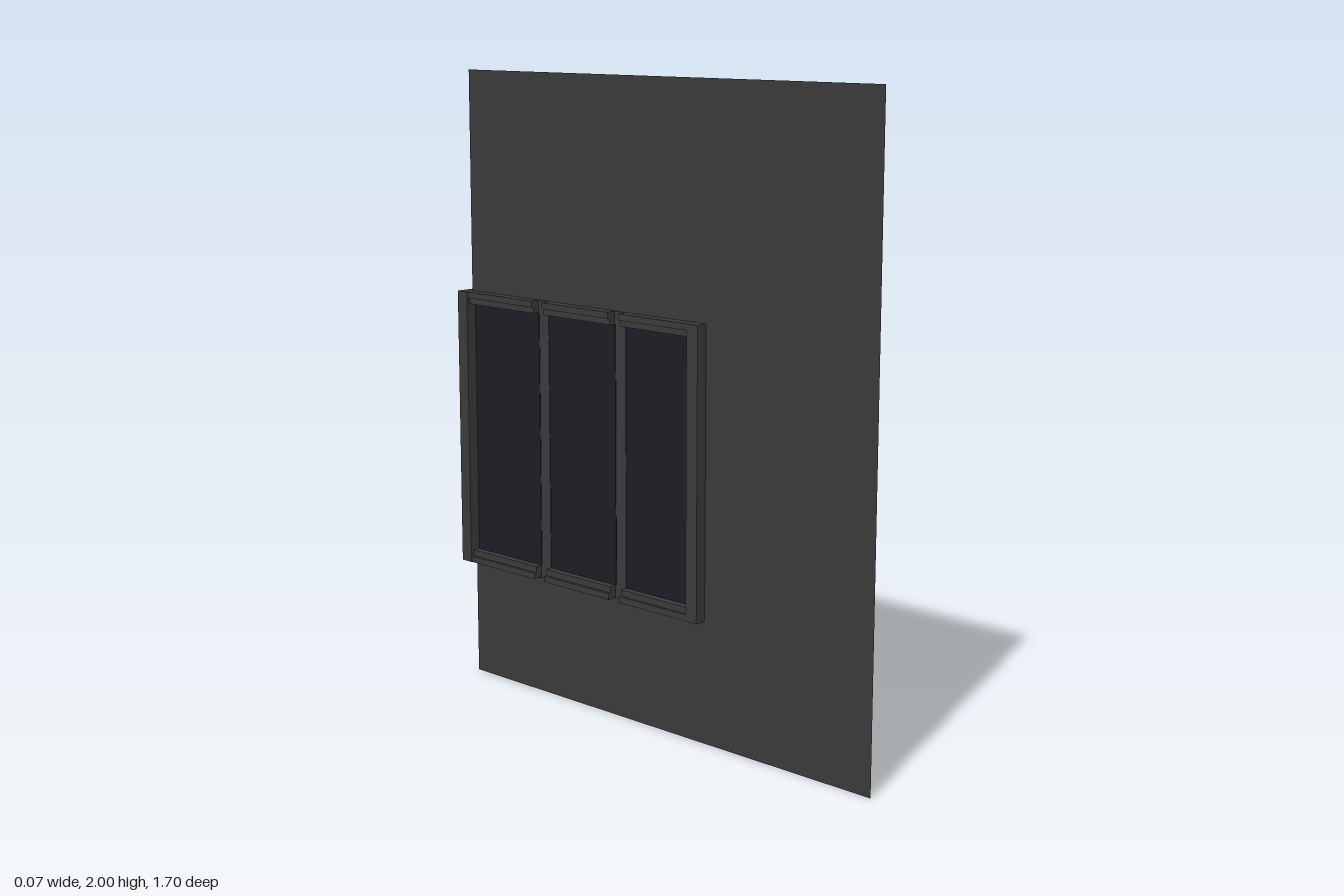
import * as THREE from 'three';

export function createModel() {
  const root = new THREE.Group();
  const grey = new THREE.MeshStandardMaterial({ color: 0x3b3b3b });
  const sheet = new THREE.MeshStandardMaterial({ color: 0x3b3b3b, side: THREE.DoubleSide });
  const dark = new THREE.MeshStandardMaterial({ color: 0x1c1e24, side: THREE.DoubleSide });

  // Box given by its limits on each axis
  const box = (name, [x0, x1], [y0, y1], [z0, z1], material = grey) => {
    const mesh = new THREE.Mesh(new THREE.BoxGeometry(x1 - x0, y1 - y0, z1 - z0), material);
    mesh.position.set((x0 + x1) / 2, (y0 + y1) / 2, (z0 + z1) / 2);
    mesh.name = name;
    root.add(mesh);
  };

  const bottom = 0.385, top = 1.29, inset = 0.04;
  const zBack = -0.845, zFront = 0.212, post = 0.044;
  const bays = [[-0.80, -0.498], [-0.452, -0.16], [-0.114, 0.168]];

  // Thin wall sheet with an opening; shape x runs along -z
  const wallShape = new THREE.Shape();
  wallShape.moveTo(-0.85, 0).lineTo(0.815, 0).lineTo(0.815, top - 0.02).lineTo(-0.19, top - 0.02)
    .lineTo(-0.19, bottom + 0.02).lineTo(0.815, bottom + 0.02).lineTo(0.815, 0.0001);
  // Remaining upper part of the wall
  const outline = new THREE.Shape([
    [-0.85, 0], [0.815, 0], [0.815, bottom + 0.02], [-0.19, bottom + 0.02],
    [-0.19, top - 0.02], [0.815, top - 0.02], [0.815, 2], [-0.85, 2],
  ].map(([a, b]) => new THREE.Vector2(a, b)));
  const wall = new THREE.Mesh(new THREE.ShapeGeometry(outline), sheet);
  wall.rotation.y = Math.PI / 2;
  wall.name = 'wall';
  root.add(wall);

  // End posts
  box('backPost', [-0.037, 0.037], [bottom, top], [zBack, zBack + post]);
  box('frontPost', [-0.037, 0.037], [bottom, top], [zFront - post, zFront]);
  box('postSideStrip', [-0.02, 0.02], [0.43, 1.245], [-0.85, zBack]);

  // Stepped rails: continuous on one face, split into bays on the other
  for (const [name, outer, inner] of [
    ['topRail', [top - 0.02, top], [top - inset, top - 0.02]],
    ['bottomRail', [bottom, bottom + 0.02], [bottom + 0.02, bottom + inset]],
  ]) {
    box(name, [-0.004, 0.025], outer, [-0.801, 0.168]);
    box(name + 'Lip', [-0.004, 0.017], inner, [-0.801, 0.168]);
    for (const bay of bays) {
      box(name + 'Segment', [-0.035, -0.004], outer, bay);
      box(name + 'SegmentLip', [-0.026, -0.004], inner, bay);
    }
  }

  // Mullions between the bays
  for (const z of [-0.473, -0.135])
    box('mullion', [-0.004, 0.012], [bottom + inset, top - inset], [z - 0.021, z + 0.021]);

  // Window panes
  for (const bay of bays)
    box('pane', [-0.002, 0.002], [bottom + inset, top - inset], bay, dark);

  return root;
}
